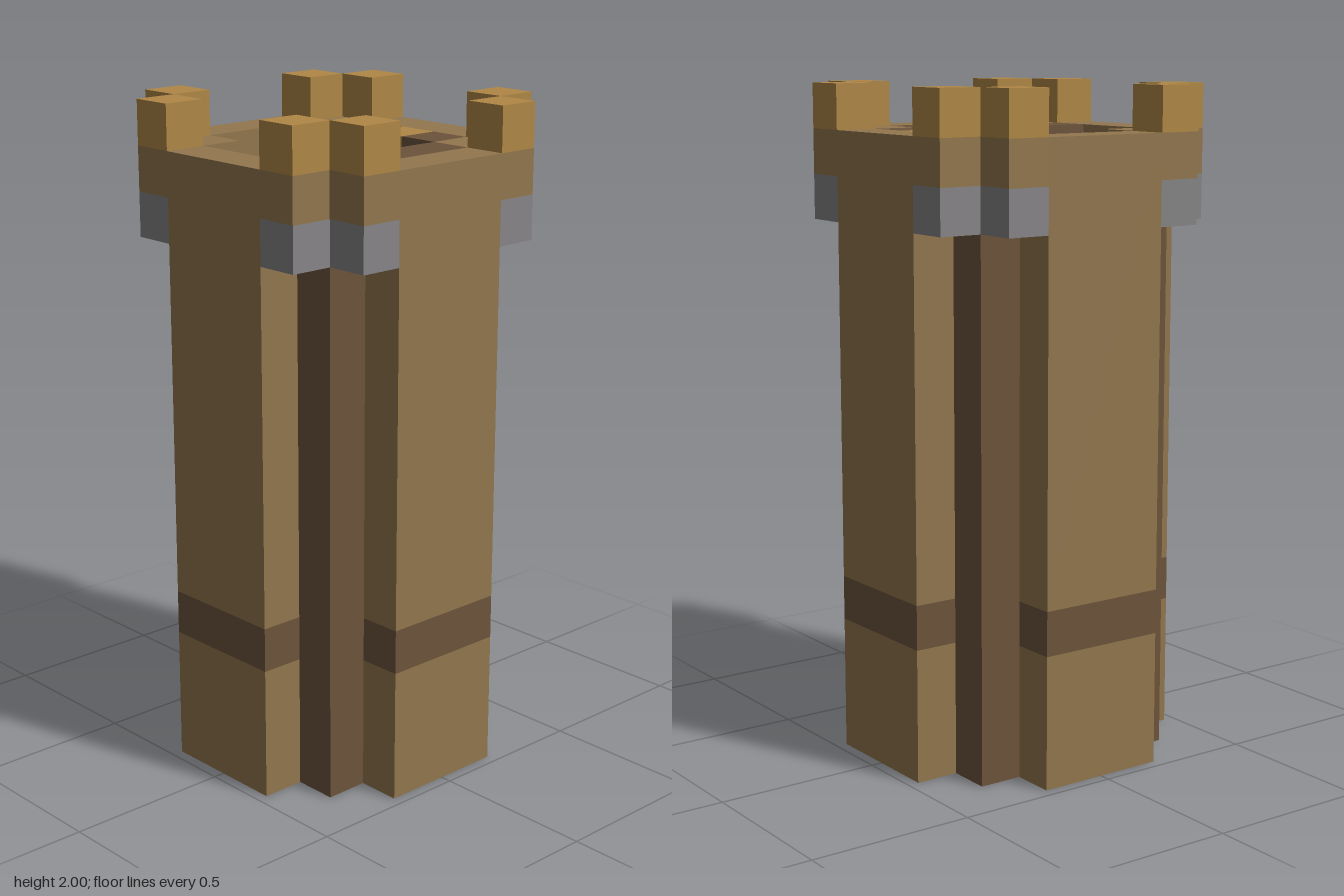
import * as THREE from 'three';

const U = 2 / 15; // one block

export function createModel() {
  const tower = new THREE.Group();
  tower.name = 'tower';

  const paint = (name, color) => {
    const m = new THREE.MeshStandardMaterial({ color });
    m.name = name;
    return m;
  };
  const brown = paint('brown stone', 0x92774e);
  const dark = paint('dark brown stone', 0x6d543b);
  const gold = paint('golden wood', 0xb08745);
  const grey = paint('grey stone', 0x878587);

  // Box in block units: centre x/z, bottom layer, size
  const block = (name, mat, x, layer, z, w = 1, h = 1, d = 1) => {
    const mesh = new THREE.Mesh(new THREE.BoxGeometry(w * U, h * U, d * U), mat);
    mesh.position.set(x * U, (layer + h / 2) * U, z * U);
    mesh.name = name;
    tower.add(mesh);
  };

  // Four walls with a dark band
  for (const s of [-1, 1]) {
    for (const [name, mat, layer, h] of [
      ['wallBase', brown, 0, 3],
      ['wallBand', dark, 3, 1],
      ['wall', brown, 4, 10],
    ]) {
      block(name, mat, 0, layer, s * 3, 3, h, 1);
      block(name, mat, s * 3, layer, 0, 1, h, 3);
    }
  }

  // Corners: recessed pillar, corbels, rim and battlements
  for (const sx of [-1, 1]) {
    for (const sz of [-1, 1]) {
      block('cornerPillar', dark, sx * 2, 0, sz * 2, 1, 13, 1);
      block('cornerRim', brown, sx * 2, 13, sz * 2);
      for (const [x, z] of [[2, 3], [3, 2]]) {
        block('corbel', grey, sx * x, 12, sz * z);
        block('rim', brown, sx * x, 13, sz * z);
        block('merlon', gold, sx * x, 14, sz * z);
      }
    }
  }

  // Central pole and the upper platform
  block('pole', brown, 0, 0, 0, 1, 12, 1);
  block('platform', brown, 0, 12, 0.5, 3, 1, 2);
  block('platformBack', brown, 0, 12, -1);
  block('platformSide', brown, -2, 12, 0);

  // Dark walkway level with the rim
  block('walkway', dark, 0, 13, 2, 3, 1, 1);
  for (const s of [-1, 1]) block('walkwaySide', dark, s * 2, 13, 1);

  // Spiral stair: golden treads, each with grey blocks under the next one
  const treads = [[-1, 1], [-2, 0], [-1, -1], [0, -2], [1, -1], [2, 0], [1, 1], [0, 2]];
  const corners = [[-2, 1], [-2, -1], [-1, -2], [1, -2], [2, -1], [2, 1], [1, 2], [-1, 2]];
  const order = [0, 1, 2, 3, 4, 5, 6, 7];
  for (let layer = 0; layer < 14; layer++) {
    const i = order[layer % 8];
    const [x, z] = treads[i];
    if (layer > 0) block('tread', gold, x, layer, z);
    if (layer < 13) {
      const [nx, nz] = treads[(i + 1) % 8];
      block('treadSupport', grey, nx, layer, nz);
      block('stairCorner', grey, corners[i][0], layer, corners[i][1]);
    }
  }
  // Lowest treads at the stair foot
  for (const s of [-1, 1]) block('footTread', gold, s, 0, 2);

  return tower;
}
